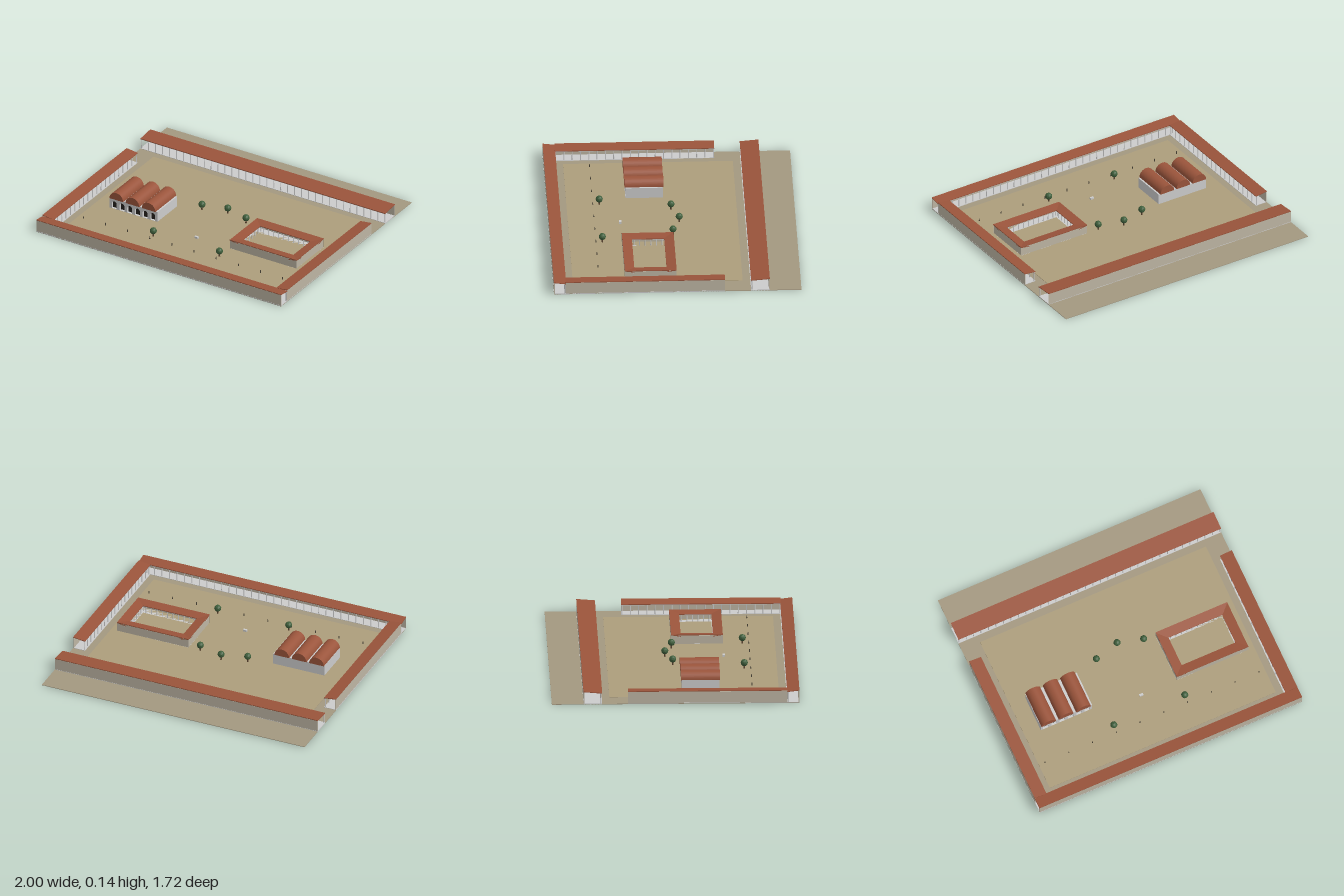
import * as THREE from 'three';
import { mergeGeometries } from 'three/addons/utils/BufferGeometryUtils.js';

const mat = (color, flatShading = false) => new THREE.MeshStandardMaterial({ color, flatShading });
const M = {
  earth: mat(0xa39880), paving: mat(0xac9d7b), tile: mat(0x9a543b), wall: mat(0xbdb5a3),
  stone: mat(0xcccccc), dark: mat(0x24211e), bark: mat(0x5a4330), leaf: mat(0x3f5f3c, true), bronze: mat(0x4a4438),
};

function add(parent, name, geometry, material, x = 0, y = 0, z = 0) {
  const mesh = new THREE.Mesh(geometry, material);
  mesh.name = name;
  mesh.position.set(x, y, z);
  parent.add(mesh);
  return mesh;
}

// Box given by its centre in x and z and its underside
function block(parent, name, w, h, d, material, x, y, z) {
  return add(parent, name, new THREE.BoxGeometry(w, h, d), material, x, y + h / 2, z);
}

// Covered walk: wall on z = 0, columns towards +z, roof falling to the columns
function portico(name, length, depth, height, spacing, columnInset = 0.008) {
  const g = new THREE.Group();
  g.name = name;
  const low = height - 0.011, columnZ = depth - columnInset, base = 0.007;
  block(g, 'floor', length, base, depth, M.stone, 0, 0, depth / 2);
  block(g, 'backWall', length, height - 0.006, 0.005, M.wall, 0, 0, 0.0035);
  block(g, 'beam', length, 0.006, 0.006, M.stone, 0, low - 0.01, columnZ);

  const slope = new THREE.Shape([[0, height - 0.005], [depth, low - 0.005], [depth, low], [0, height]]
    .map(([z, y]) => new THREE.Vector2(-z, y)));
  const roof = new THREE.ExtrudeGeometry(slope, { depth: length, bevelEnabled: false });
  roof.translate(0, 0, -length / 2).rotateY(Math.PI / 2);
  add(g, 'roof', roof, M.tile);

  // Colonnade
  const columns = [], count = Math.round(length / spacing), h = low - 0.01 - base;
  for (let i = 0; i <= count; i++) {
    const c = new THREE.CylinderGeometry(0.003, 0.0038, h, 8);
    c.translate(-length / 2 + 0.006 + (i / count) * (length - 0.012), base + h / 2, columnZ);
    columns.push(c);
  }
  add(g, 'colonnade', mergeGeometries(columns), M.stone);
  return g;
}

function place(parent, object, x, z, angle = 0) {
  object.position.set(x, 0, z);
  object.rotation.y = angle;
  parent.add(object);
}

// Hall with an arched front and three barrel vaults
function vaultedHall() {
  const g = new THREE.Group();
  g.name = 'vaultedHall';
  const w = 0.39, d = 0.26, h = 0.085, wall = 0.018;
  block(g, 'hallBody', w, h, d - wall, M.stone, 0, 0, -wall / 2);

  const facade = new THREE.Shape([[-w / 2, 0], [w / 2, 0], [w / 2, h], [-w / 2, h]]
    .map(([x, y]) => new THREE.Vector2(x, y)));
  for (let i = 0; i < 6; i++) {
    const x = (i - 2.5) * 0.063, r = 0.02;
    const arch = new THREE.Path();
    arch.moveTo(x - r, 0.008).lineTo(x + r, 0.008).lineTo(x + r, 0.045);
    arch.absarc(x, 0.045, r, 0, Math.PI, false);
    arch.closePath();
    facade.holes.push(arch);
  }
  add(g, 'archedFront', new THREE.ExtrudeGeometry(facade, { depth: wall, bevelEnabled: false, curveSegments: 8 }),
    M.stone, 0, 0, d / 2 - wall);
  block(g, 'archShadow', w - 0.02, h - 0.01, 0.002, M.dark, 0, 0.004, d / 2 - wall);

  const half = new THREE.Shape();
  half.absarc(0, 0, 0.056, 0, Math.PI, false);
  const vault = new THREE.ExtrudeGeometry(half, { depth: 0.272, bevelEnabled: false, curveSegments: 16 });
  for (let i = -1; i <= 1; i++) add(g, 'barrelVault', vault, M.tile, -0.005 + i * 0.132, h - 0.001, -0.136);
  return g;
}

// Courtyard house: four porticoes facing inwards
function courtyardHouse() {
  const g = new THREE.Group();
  g.name = 'courtyardHouse';
  const w = 0.545, d = 0.36, depth = 0.068, h = 0.075;
  for (const s of [1, -1]) {
    place(g, portico('longWing', w, depth, h, 0.042), 0, s * d / 2, s > 0 ? Math.PI : 0);
    place(g, portico('shortWing', d, depth, h - 0.0006, 0.04), s * w / 2, 0, -s * Math.PI / 2);
  }
  return g;
}

function tree() {
  const g = new THREE.Group();
  g.name = 'tree';
  add(g, 'trunk', new THREE.CylinderGeometry(0.004, 0.006, 0.036, 6), M.bark, 0, 0.022, 0);
  add(g, 'crown', new THREE.IcosahedronGeometry(0.025, 1), M.leaf, 0, 0.05, 0);
  return g;
}

export function createModel() {
  const model = new THREE.Group();
  model.name = 'marketSquare';

  // Ground and paved square
  block(model, 'ground', 2, 0.004, 1.72, M.earth, 0, 0, 0);
  block(model, 'paving', 1.72, 0.003, 1.18, M.paving, 0, 0.004, 0.133);

  // Porticoes around the square
  place(model, portico('backPortico', 2, 0.13, 0.095, 0.057), 0, -0.64);
  place(model, portico('frontPortico', 2, 0.085, 0.095, 0.057), 0, 0.86, Math.PI);
  for (const s of [1, -1]) {
    place(model, portico('sidePortico', 1.108, 0.09, 0.0945, 0.057), s, 0.224, -s * Math.PI / 2);
  }

  // Buildings inside the square
  place(model, vaultedHall(), -0.547, 0.18);
  place(model, courtyardHouse(), 0.543, 0.18);

  // Altar
  block(model, 'altar', 0.028, 0.014, 0.016, M.stone, 0, 0.006, 0.36);

  // Trees
  for (const [x, z] of [[-0.18, 0], [0, -0.05], [0.18, 0], [-0.27, 0.495], [0.27, 0.495]]) {
    place(model, tree(), x, z);
  }

  // Row of small posts
  const post = new THREE.CylinderGeometry(0.0025, 0.004, 0.02, 6);
  for (let i = 0; i < 10; i++) add(model, 'post', post, M.bronze, (i - 4.5) * 0.181, 0.016, 0.54);

  return model;
}
